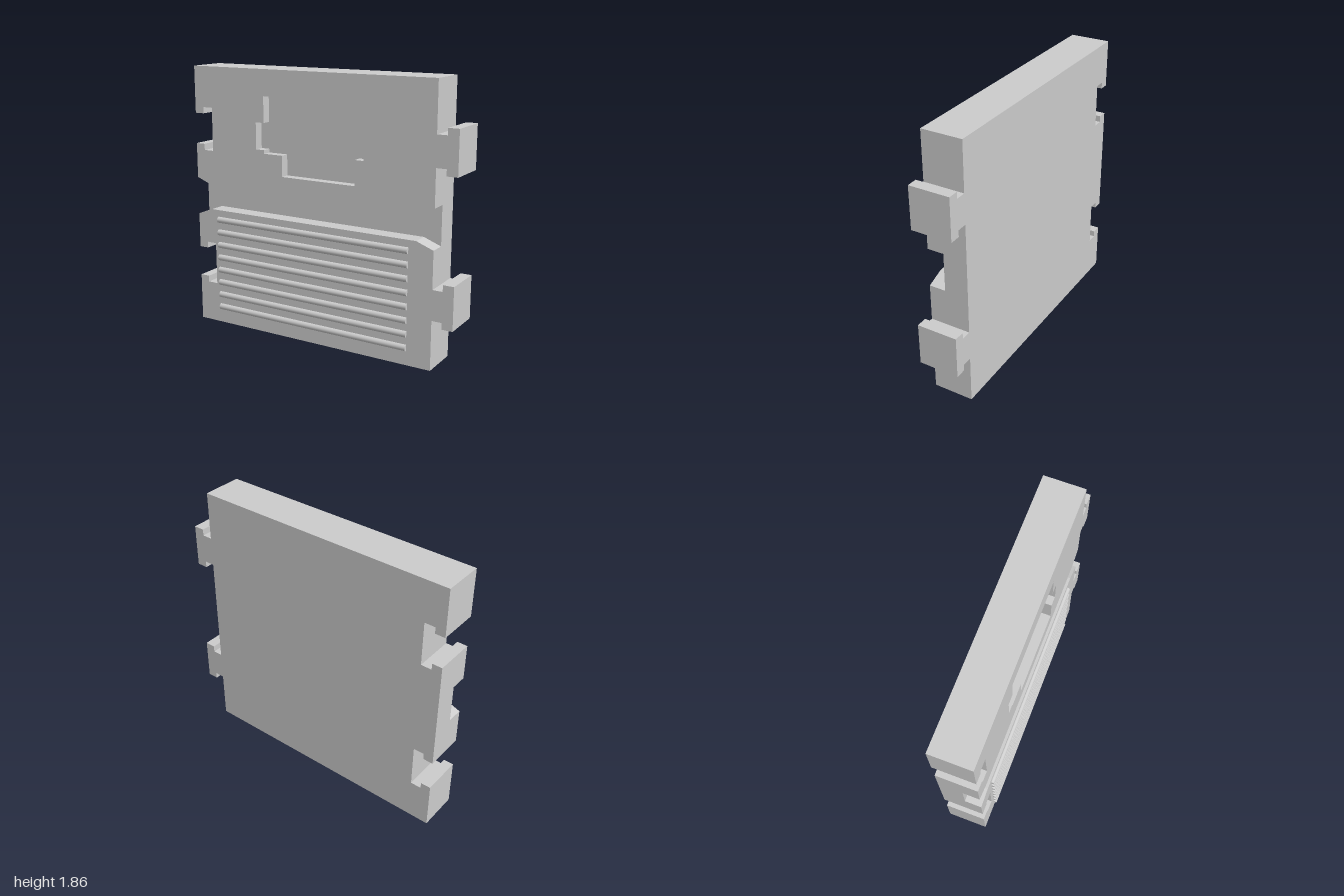
import * as THREE from 'three';
import { mergeGeometries } from 'three/addons/utils/BufferGeometryUtils.js';

const L = -1, R = 0.855, TOP = 1.86;                     // slab edges
const BACK = -0.151, FLOOR = 0.015, FRONT = 0.129;       // depths of back, channel floor, face
const RECESS = 0.064;                                    // depth of the recess floor
const TABS = [0.4425, 1.4225];                           // heights of the interlocking joints

// T-shaped tab on the right edge, listed upwards
const tab = (y) => [
  [R, y - 0.1025], [0.925, y - 0.1025], [0.925, y - 0.147], [1, y - 0.147],
  [1, y + 0.147], [0.925, y + 0.147], [0.925, y + 0.1025], [R, y + 0.1025],
];
// matching slot in the left edge, listed downwards
const slot = (y) => [
  [L, y + 0.108], [-0.93, y + 0.108], [-0.93, y + 0.152], [-0.855, y + 0.152],
  [-0.855, y - 0.152], [-0.93, y - 0.152], [-0.93, y - 0.108], [L, y - 0.108],
];

// flat face at depth z
function cap(points, z, hole, flip = false) {
  const shape = new THREE.Shape(points.map(([x, y]) => new THREE.Vector2(x, y)));
  if (hole) shape.holes.push(new THREE.Path(hole.map(([x, y]) => new THREE.Vector2(x, y))));
  const g = new THREE.ShapeGeometry(shape);
  if (flip) {
    const a = g.index.array;
    for (let i = 0; i < a.length; i += 3) [a[i], a[i + 1]] = [a[i + 1], a[i]];
  }
  g.translate(0, 0, z);
  return finish(g.toNonIndexed());
}

// side walls along a closed outline, facing outwards when it runs anticlockwise
function walls(points, z0, z1) {
  const pos = [];
  points.forEach(([x, y], i) => {
    const [u, v] = points[(i + 1) % points.length];
    pos.push(x, y, z0, u, v, z0, u, v, z1, x, y, z0, u, v, z1, x, y, z1);
  });
  const g = new THREE.BufferGeometry();
  g.setAttribute('position', new THREE.Float32BufferAttribute(pos, 3));
  return finish(g);
}

function finish(g) {
  g.deleteAttribute('uv');
  g.computeVertexNormals();
  return g;
}

export function createModel() {
  const group = new THREE.Group();
  const material = new THREE.MeshStandardMaterial({ color: 0xcccccc });
  const add = (name, parts) => {
    const mesh = new THREE.Mesh(mergeGeometries(parts), material);
    mesh.name = name;
    group.add(mesh);
  };

  const outline = [
    [L, 0], [R, 0], ...tab(TABS[0]), ...tab(TABS[1]),
    [R, TOP], [L, TOP], ...slot(TABS[1]), ...slot(TABS[0]),
  ];
  const lower = [
    [L, 0], [R, 0], ...tab(TABS[0]),
    [R, 0.8], [0.735, 0.845], [-0.88, 0.845], [L, 0.8], ...slot(TABS[0]),
  ];
  const upper = [
    [L, 1.068], [-0.88, 1.022], [0.735, 1.022], [R, 1.068], ...tab(TABS[1]),
    [R, TOP], [L, TOP], ...slot(TABS[1]),
  ];
  const channel = [
    [L, 0.8], [-0.88, 0.845], [0.735, 0.845], [R, 0.8],
    [R, 1.068], [0.735, 1.022], [-0.88, 1.022], [L, 1.068],
  ];
  const recess = [
    [-0.415, 1.68], [-0.415, 1.5], [-0.48, 1.5], [-0.48, 1.315], [-0.415, 1.315],
    [-0.415, 1.29], [-0.27, 1.29], [-0.27, 1.145], [0.29, 1.145], [0.29, 1.315],
    [0.355, 1.315], [0.355, 1.5], [0.29, 1.5], [0.29, 1.68],
  ];

  // backing slab with the floor of the flared channel
  add('backSlab', [cap(outline, BACK, null, true), walls(outline, BACK, FLOOR), cap(channel, FLOOR)]);

  // raised panels above and below the channel
  add('lowerPanel', [walls(lower, FLOOR, FRONT), cap(lower, FRONT)]);
  add('upperPanel', [walls(upper, FLOOR, FRONT), cap(upper, FRONT, recess)]);

  // stepped recess sunk into the upper panel
  add('recess', [walls([...recess].reverse(), RECESS, FRONT), cap(recess, RECESS)]);

  // row of horizontal ribs, half sunk into the lower panel
  const ribGeometry = new THREE.CylinderGeometry(0.022, 0.022, 1.505, 24);
  ribGeometry.rotateZ(Math.PI / 2);
  const ribs = new THREE.Group();
  ribs.name = 'ribs';
  for (let i = 0; i < 8; i++) {
    const rib = new THREE.Mesh(ribGeometry, material);
    rib.name = 'rib';
    rib.position.set(-0.07, 0.12 + i * 0.0935, FRONT);
    ribs.add(rib);
  }
  group.add(ribs);
  return group;
}
